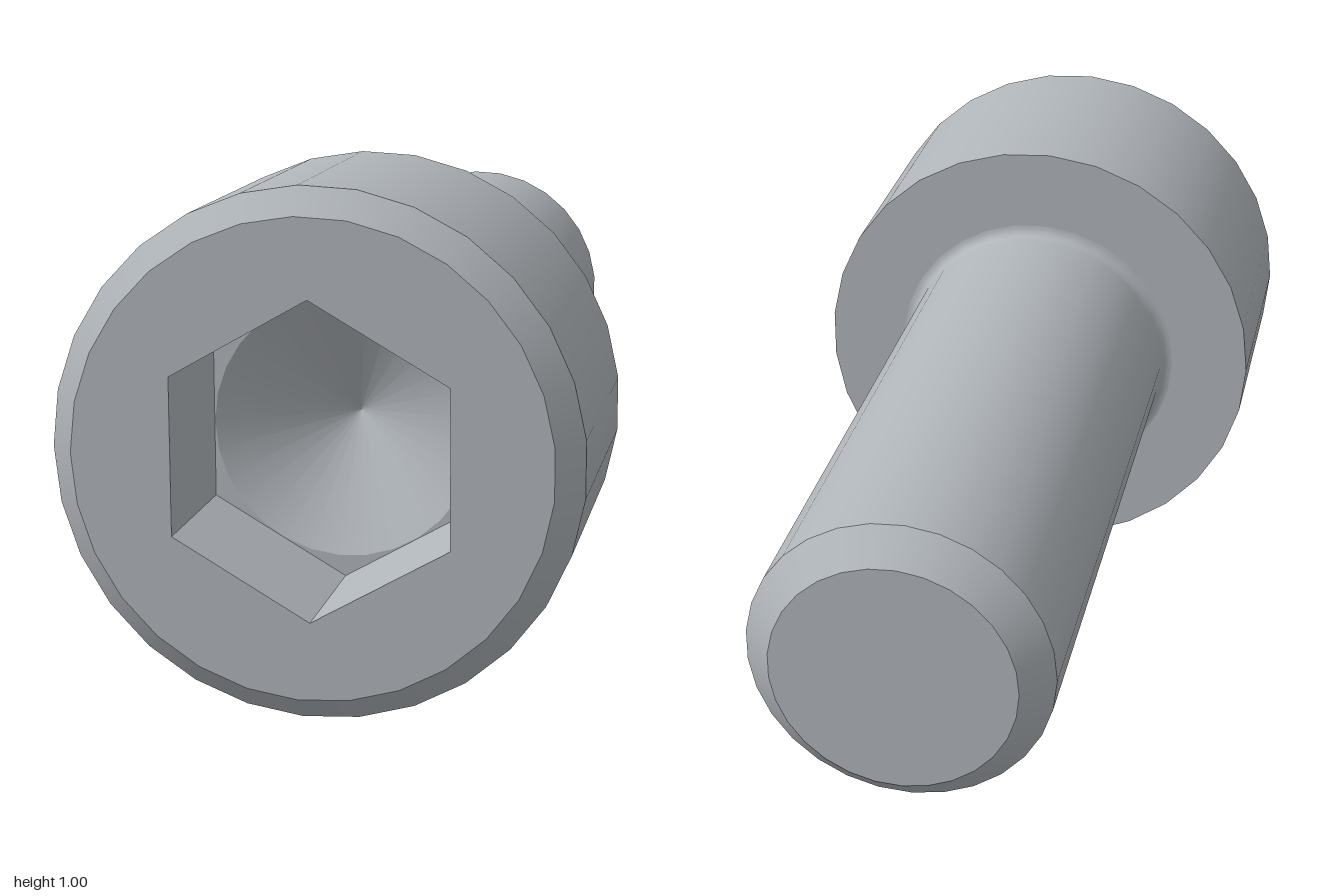
import * as THREE from 'three';
import { mergeGeometries } from 'three/addons/utils/BufferGeometryUtils.js';

const SIDES = 29;
const AXIS_HEIGHT = 0.5;
const HEX_RADIUS = 0.3;
const HEX_APOTHEM = HEX_RADIUS * Math.cos(Math.PI / 6);
const SOCKET_DEPTH = 0.3;

// Smooth surface turned about the z axis; points are [radius, z]
function turned(points) {
  const profile = points.map(([r, z]) => new THREE.Vector2(r, z));
  return new THREE.LatheGeometry(profile, SIDES, -Math.PI / 2).rotateX(Math.PI / 2);
}

// Regular polygon outline in the xy plane
function polygon(radius, sides, start) {
  return Array.from({ length: sides }, (_, i) => {
    const a = start + (i / sides) * Math.PI * 2;
    return new THREE.Vector2(radius * Math.cos(a), radius * Math.sin(a));
  });
}

// Flat plate facing +z with a hole in it
function plate(outline, hole, z) {
  const shape = new THREE.Shape(outline);
  shape.holes.push(new THREE.Path(hole));
  return new THREE.ShapeGeometry(shape).translate(0, 0, z);
}

export function createModel() {
  const steel = new THREE.MeshStandardMaterial({ color: 0xb0b5ba });
  steel.name = 'steel grey';

  const screw = new THREE.Group();
  screw.name = 'socketHeadScrew';
  screw.position.y = AXIS_HEIGHT;
  const add = (name, geometry) => {
    const mesh = new THREE.Mesh(geometry, steel);
    mesh.name = name;
    screw.add(mesh);
  };

  // Shank with a chamfered tip
  add('shankEnd', turned([[0, -1], [0.24, -1]]));
  add('shankChamfer', turned([[0.24, -1], [0.3, -0.94]]));

  // Shank wall flowing into a small fillet under the head
  const fillet = 0.025;
  const shank = [[0.3, -0.94], [0.3, 0.3]];
  for (let i = 0; i <= 5; i++) {
    const a = (i / 5) * Math.PI / 2;
    shank.push([0.3 + fillet * (1 - Math.cos(a)), 0.4 - fillet * (1 - Math.sin(a))]);
  }
  add('shank', turned(shank));

  // Head
  add('headUnderside', turned([[0.3 + fillet, 0.4], [0.5, 0.4]]));
  add('headSide', turned([[0.5, 0.4], [0.5, 0.95]]));
  add('headChamfer', turned([[0.5, 0.95], [0.45, 1]]));
  const hexagon = polygon(HEX_RADIUS, 6, Math.PI / 2);
  add('headFace', plate(polygon(0.45, SIDES, Math.PI), hexagon, 1));

  // Six socket walls facing the axis
  const walls = [];
  for (let i = 0; i < 6; i++) {
    walls.push(new THREE.PlaneGeometry(SOCKET_DEPTH, HEX_RADIUS)
      .rotateY(-Math.PI / 2)
      .translate(HEX_APOTHEM, 0, 1 - SOCKET_DEPTH / 2)
      .rotateZ(i * Math.PI / 3));
  }
  add('socketWalls', mergeGeometries(walls));

  // Socket floor corners and the drilled cone
  const floor = 1 - SOCKET_DEPTH;
  const drillRadius = HEX_APOTHEM - 0.001;
  add('socketFloor', plate(hexagon, polygon(drillRadius, SIDES, Math.PI), floor));
  add('socketCone', turned([[drillRadius, floor], [0, floor - 0.15]]));

  const model = new THREE.Group();
  model.name = 'model';
  model.add(screw);
  return model;
}
